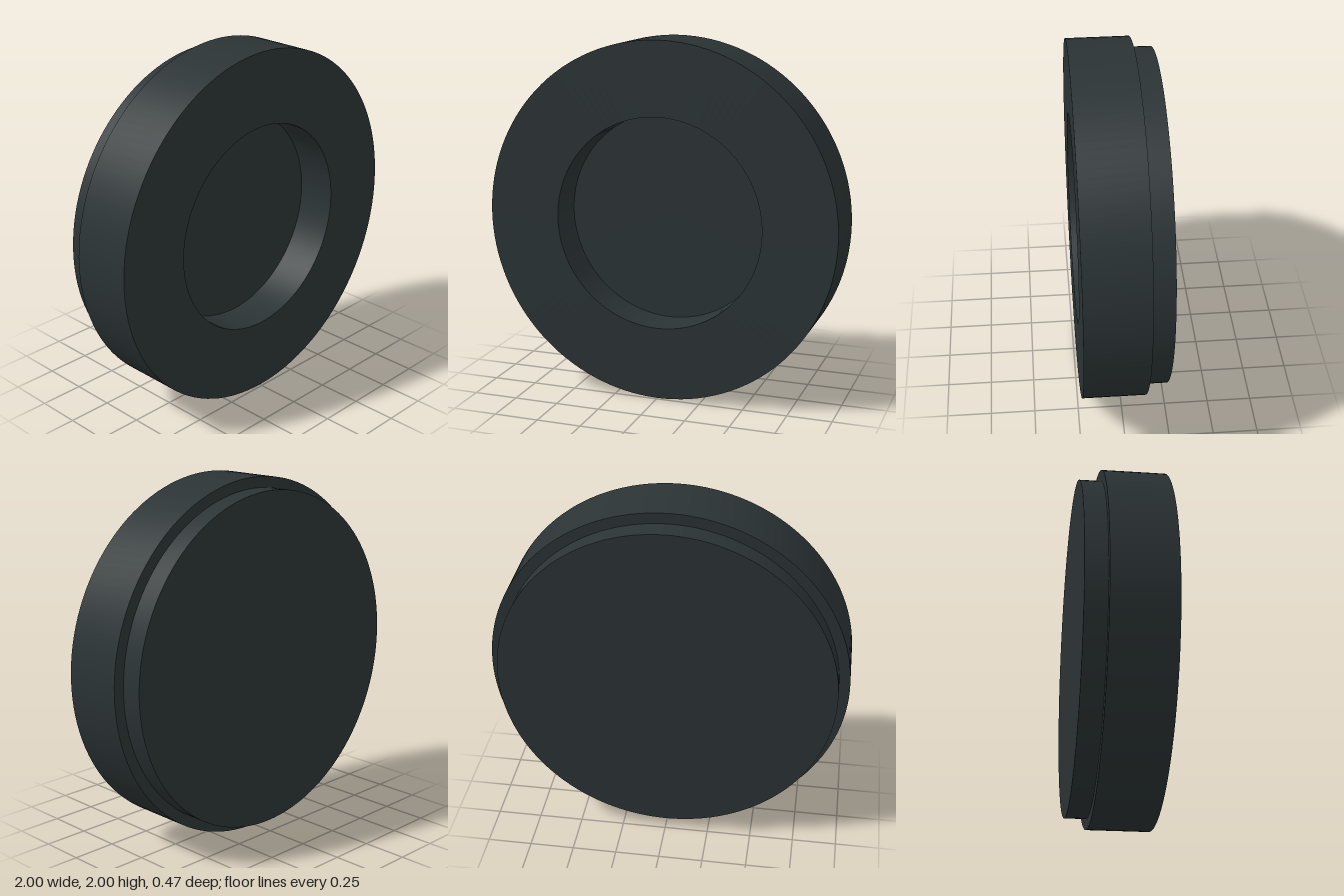
import * as THREE from 'three';
import { toCreasedNormals } from 'three/addons/utils/BufferGeometryUtils.js';

const material = new THREE.MeshStandardMaterial({ color: 0x2b3335 });

// Turns a profile of [radius, z] points around the z axis, with sharp edges
function turned(name, profile) {
  const points = profile.map(([r, z]) => new THREE.Vector2(r, z));
  const geometry = new THREE.LatheGeometry(points, 128);
  geometry.rotateX(Math.PI / 2);
  const mesh = new THREE.Mesh(toCreasedNormals(geometry, Math.PI / 6), material);
  mesh.name = name;
  mesh.position.y = 1;
  return mesh;
}

export function createModel() {
  const group = new THREE.Group();
  group.name = 'recessedDisc';

  // Wide front body with a round recess and its flat floor
  group.add(turned('frontBody', [
    [0.94, -0.115], [1, -0.115], [1, 0.235], [0.59, 0.235], [0.59, 0.01], [0, 0.01],
  ]));

  // Slightly smaller closed plate stepped out at the back
  group.add(turned('backPlate', [
    [0, -0.235], [0.94, -0.235], [0.94, -0.115],
  ]));

  return group;
}
